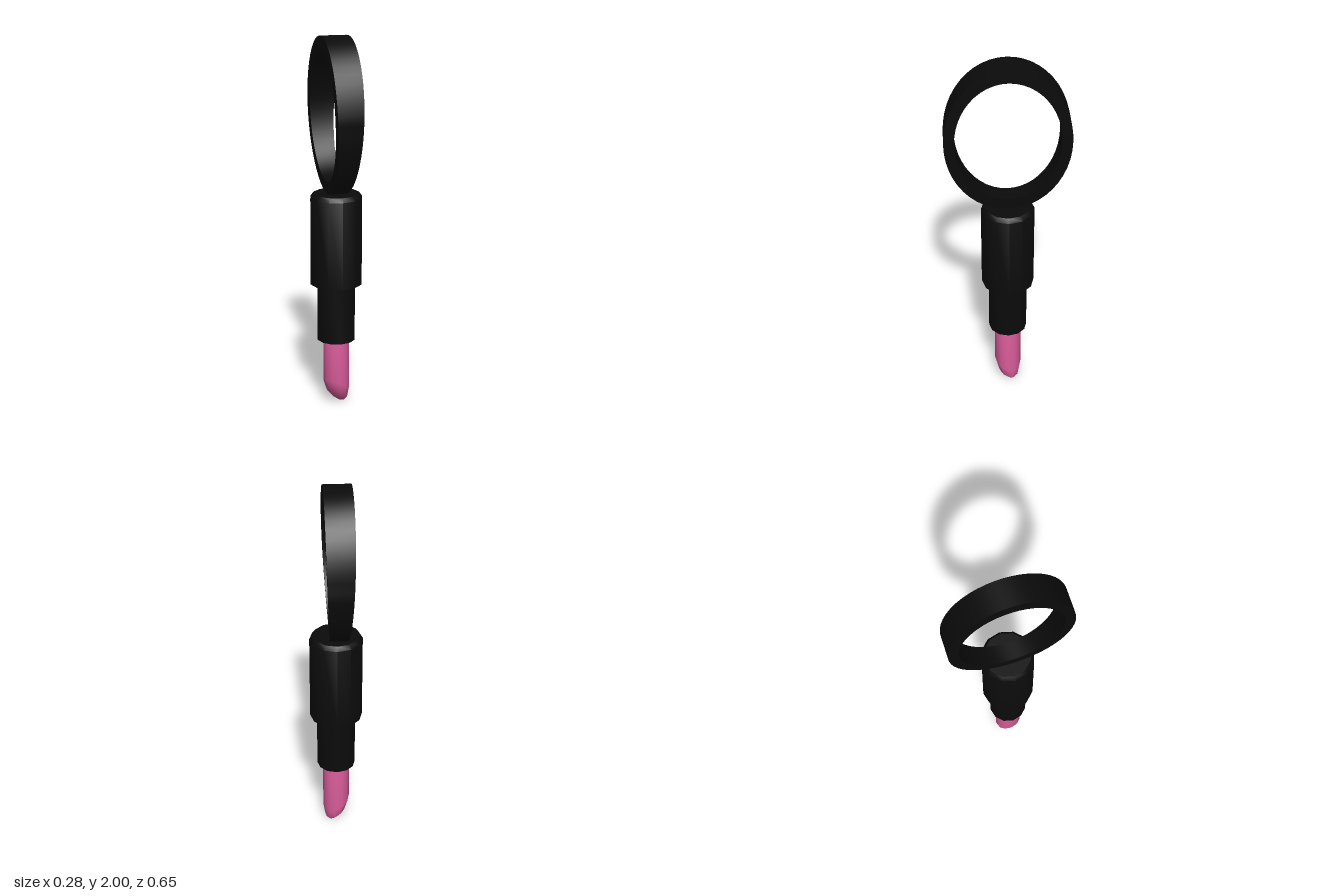
import * as THREE from 'three';
import { toCreasedNormals } from 'three/addons/utils/BufferGeometryUtils.js';

const SIDES = 12;

// Turned solid from [radius, height] pairs listed bottom to top
function turned(profile) {
  return new THREE.LatheGeometry(profile.map(([r, y]) => new THREE.Vector2(r, y)), SIDES);
}

// Lipstick bullet: a turned stick whose lower rows are tilted and shifted into a slanted tip
function bulletGeometry() {
  const R = 0.072;
  // radius factor, height, slope, sideways shift
  const rows = [
    [0, 0.006, 0, 0.022],
    [0.4, 0.015, 0.015, 0.022],
    [0.8, 0.05, 0.035, 0.006],
    [1, 0.11, 0.035, 0],
    [1, 0.39, 0, 0],
    [0, 0.39, 0, 0],
  ];
  const geo = turned(rows.map(([s, y]) => [s * R, y]));
  const pos = geo.attributes.position;
  const dx = 0.8, dz = -0.6; // direction of the low side
  for (let i = 0; i < pos.count; i++) {
    const [s, y, slope, shift] = rows[i % rows.length];
    const x = pos.getX(i), z = pos.getZ(i);
    const u = s > 0 ? (x * dx + z * dz) / (s * R) : 0;
    pos.setXYZ(i, x + dx * shift, y - slope * u, z + dz * shift);
  }
  return geo;
}

// Oval loop whose band widens from bottom to top
function loopGeometry() {
  const cy = 1.59;
  const shape = new THREE.Shape().absellipse(0, cy, 0.323, 0.41, 0, Math.PI * 2);
  shape.holes.push(new THREE.Path().absellipse(0, cy, 0.269, 0.343, 0, Math.PI * 2, true));
  const geo = new THREE.ExtrudeGeometry(shape, { depth: 1, bevelEnabled: false, curveSegments: 24 });
  geo.translate(0, 0, -0.5).rotateY(Math.PI / 2);
  const pos = geo.attributes.position;
  for (let i = 0; i < pos.count; i++) {
    const t = 1 - (pos.getY(i) - 1.18) / 0.82;
    const halfWidth = 0.073 - 0.03 * t * t;
    pos.setX(i, Math.sign(pos.getX(i)) * halfWidth - 0.008);
  }
  return geo;
}

export function createModel() {
  const group = new THREE.Group();
  const black = new THREE.MeshStandardMaterial({ color: 0x0b0b0b });
  const pink = new THREE.MeshStandardMaterial({ color: 0xe0609f });

  const add = (name, geo, material) => {
    const mesh = new THREE.Mesh(toCreasedNormals(geo, 0.7), material);
    mesh.name = name;
    group.add(mesh);
  };

  add('case', turned([[0, 0.688], [0.14, 0.688], [0.14, 1.158], [0.123, 1.18], [0, 1.18]]), black);
  add('innerTube', turned([[0, 0.372], [0.103, 0.372], [0.103, 0.7], [0, 0.7]]), black);
  add('lipstickBullet', bulletGeometry(), pink);
  add('loop', loopGeometry(), black);

  return group;
}
